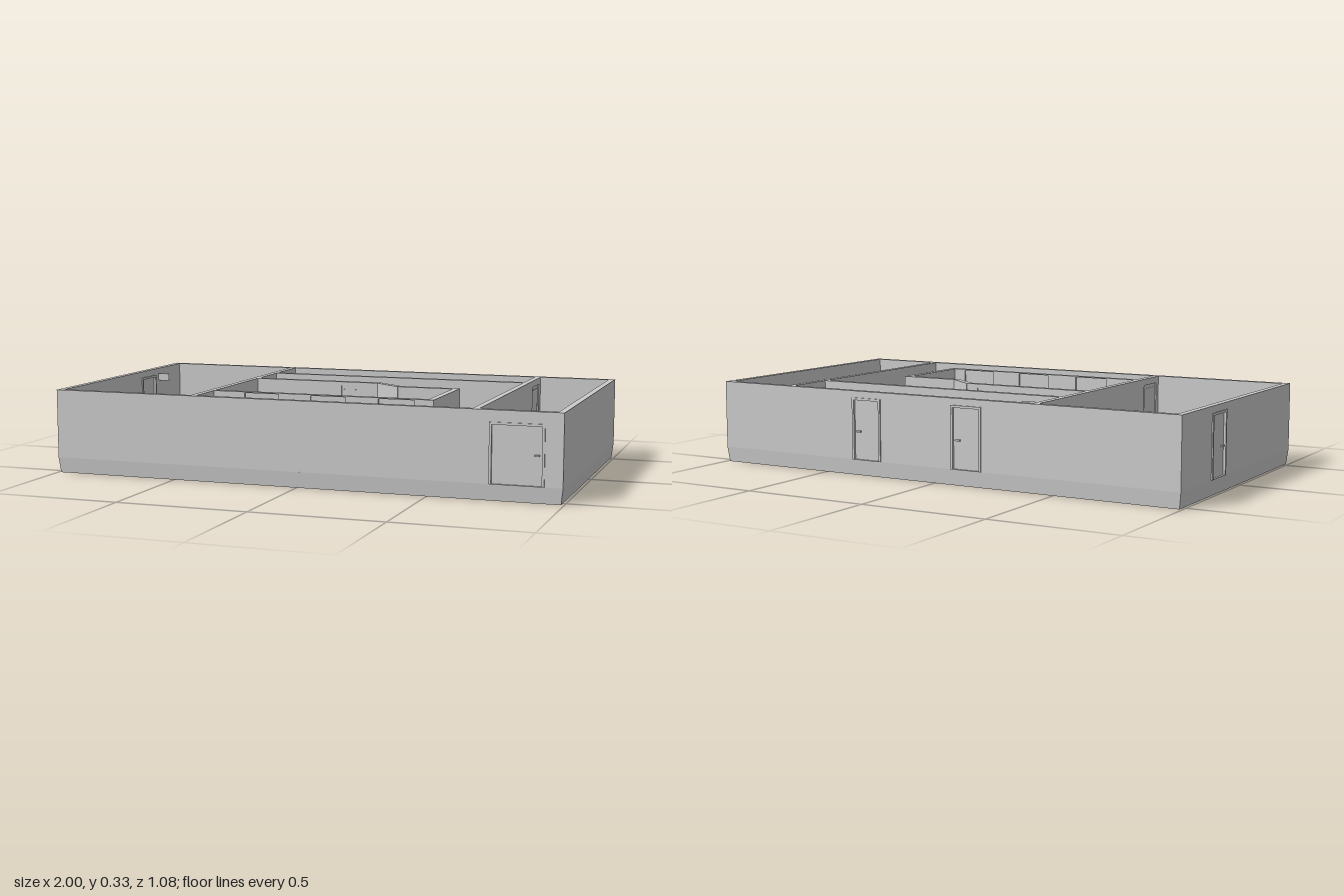
import * as THREE from 'three';

const FLOOR = 0.06, TOP = 0.326, T = 0.024;
const grey = new THREE.MeshStandardMaterial({ color: 0xcccccc, flatShading: true });

function box(name, w, h, d, x, y, z) {
  const m = new THREE.Mesh(new THREE.BoxGeometry(w, h, d), grey);
  m.name = name;
  m.position.set(x, y, z);
  return m;
}

const rect = (P, u0, y0, u1, y1) => new P().moveTo(u0, y0).lineTo(u1, y0).lineTo(u1, y1).lineTo(u0, y1).closePath();

function slab(name, shape, depth) {
  const g = new THREE.ExtrudeGeometry(shape, { depth, bevelEnabled: false });
  g.translate(0, 0, -depth / 2);
  const m = new THREE.Mesh(g, grey);
  m.name = name;
  return m;
}

// Upright wall from a to b (x, z of its centre line); each opening is
// { at, to, top, kind } measured along the wall from a.
function wall(name, a, b, openings = [], thick = T) {
  const g = new THREE.Group();
  g.name = name;
  const dx = b[0] - a[0], dz = b[1] - a[1];
  g.position.set(a[0], 0, a[1]);
  g.rotation.y = Math.atan2(-dz, dx);
  const shape = rect(THREE.Shape, 0, FLOOR, Math.hypot(dx, dz), TOP);
  for (const { at, to, top, kind } of openings) {
    const low = FLOOR + 0.0005, w = to - at, mid = (at + to) / 2, h = top - low;
    shape.holes.push(rect(THREE.Path, at, low, to, top));
    if (kind === 'window') {
      g.add(box('windowPane', w, h, thick * 0.45, mid, low + h / 2, 0));
      continue;
    }
    g.add(box('doorLeaf', w, h, thick * 0.6, mid, low + h / 2, 0));
    if (kind === 'outer') {
      // frame standing proud of the wall on both sides
      const f = rect(THREE.Shape, at, low, to, top);
      f.holes.push(rect(THREE.Path, at + 0.009, low + 0.001, to - 0.009, top - 0.009));
      g.add(slab('doorFrame', f, thick + 0.009));
      for (const s of [-1, 1]) g.add(box('doorHandle', 0.02, 0.006, 0.008, to - 0.028, 0.17, s * (thick * 0.3 + 0.004)));
    }
    if (kind === 'panelled') {
      // two raised panels, one above the other
      for (const k of [0.27, 0.73]) g.add(box('doorPanel', w * 0.84, h * 0.42, thick * 0.75, mid, low + h * k, 0));
    }
  }
  g.add(slab('wallBody', shape, thick));
  return g;
}

export function createModel() {
  const model = new THREE.Group();
  model.name = 'floorPlan';

  // Floor slab, drawn in slightly toward the ground
  const base = box('floorSlab', 1.992, FLOOR, 1.074, 0, FLOOR / 2, 0);
  const p = base.geometry.attributes.position;
  for (let i = 0; i < p.count; i++) {
    if (p.getY(i) < 0) p.setXYZ(i, p.getX(i) * 0.993, p.getY(i), p.getZ(i) * 0.989);
  }
  base.geometry.computeVertexNormals();
  model.add(base);

  // Outer walls
  const X = 0.984, Z = 0.525, E = 0.996, I = Z - T / 2;
  model.add(
    wall('frontWall', [-E, Z], [E, Z], [{ at: 0.73 + E, to: 0.93 + E, top: 0.283, kind: 'outer' }]),
    wall('backWall', [-E, -Z], [E, -Z], [
      { at: -0.205 + E, to: -0.075 + E, top: 0.3, kind: 'outer' },
      { at: 0.24 + E, to: 0.37 + E, top: 0.3, kind: 'outer' }]),
    wall('rightWall', [-X, -I], [-X, I], [{ at: -0.27 + I, to: -0.14 + I, top: 0.3, kind: 'outer' }]),
    wall('leftWall', [X, -I], [X, I]),
  );

  // Partitions
  model.add(
    wall('rightPartition', [-0.421, -I], [-0.421, I], [
      { at: 0.375 + I, to: 0.49 + I, top: 0.3, kind: 'panelled' }]),
    wall('leftPartition', [0.677, -I], [0.677, I], [
      { at: -0.48 + I, to: -0.36 + I, top: 0.3, kind: 'panelled' }]),
    wall('corridorWall', [-0.41, -0.303], [0.665, -0.303], [
      { at: 0.045, to: 0.16, top: 0.3, kind: 'plain' }]),
  );

  // Inner room with a clipped corner
  const windows = [-0.28, -0.01, 0.26].map(x => ({ at: x + 0.41, to: x + 0.55, top: 0.322, kind: 'window' }));
  model.add(
    wall('innerRoomBackWall', [-0.41, -0.096], [0.118, -0.096], [
      { at: 0.37, to: 0.48, top: 0.31, kind: 'panelled' }]),
    wall('innerRoomSlantWall', [0.112, -0.1], [0.232, -0.008]),
    wall('innerRoomStepWall', [0.226, -0.01], [0.474, -0.01]),
    wall('innerRoomSideWall', [0.462, -0.01], [0.462, 0.345]),
    wall('innerRoomFrontWall', [-0.41, 0.344], [0.474, 0.344], windows),
  );

  // Small signs sticking out beside the outer doors
  for (const x of [-0.235, 0.215]) model.add(box('doorSign', 0.004, 0.03, 0.05, x, 0.288, -0.488));
  model.add(box('doorSign', 0.05, 0.03, 0.004, -0.947, 0.288, -0.3));

  return model;
}
